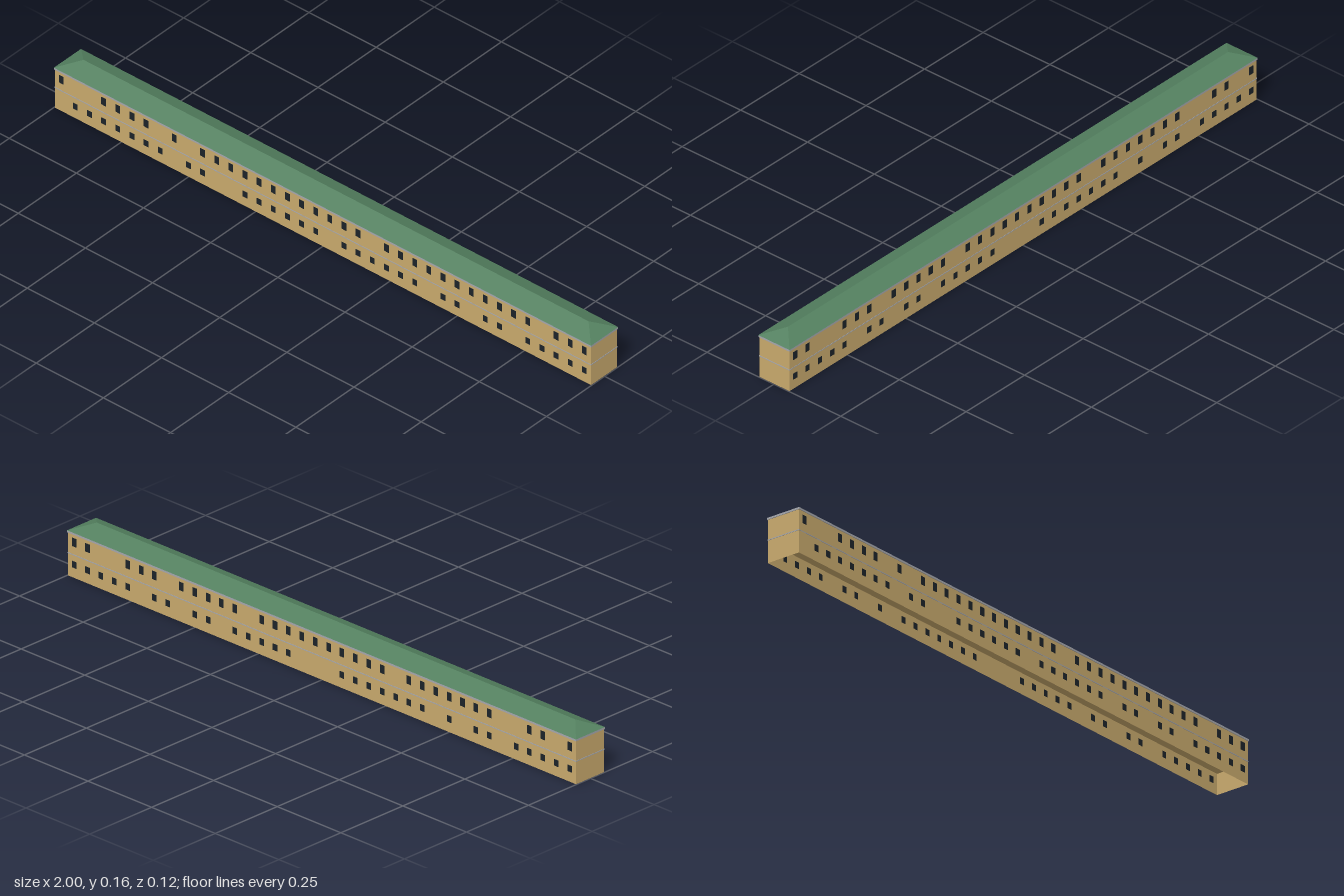
import * as THREE from 'three';

const BAY = 2 / 38; // window spacing
const HX = 0.998, HZ = 0.0565; // wall half sizes

const mat = (name, color, side = THREE.FrontSide) => {
  const m = new THREE.MeshStandardMaterial({ color, side });
  m.name = name;
  return m;
};

// Hipped roof: rectangular eaves rising to a shorter ridge
function hipRoof(hx, hz, y0, y1, ridge) {
  const a = [-hx, y0, hz], b = [hx, y0, hz], c = [hx, y0, -hz], d = [-hx, y0, -hz];
  const l = [-ridge, y1, 0], r = [ridge, y1, 0];
  const tris = [a, b, r, a, r, l, c, d, l, c, l, r, b, c, r, d, a, l];
  const g = new THREE.BufferGeometry();
  g.setAttribute('position', new THREE.Float32BufferAttribute(tris.flat(), 3));
  g.computeVertexNormals();
  return g;
}

export function createModel() {
  const group = new THREE.Group();
  const wall = mat('tan wall', 0xc9aa6d, THREE.DoubleSide);
  const trim = mat('grey trim', 0xa6a8ae);
  const green = mat('green roof', 0x53805f);
  const glass = mat('dark window', 0x1c2329);

  const add = (name, geo, m, x = 0, y = 0, z = 0, parent = group) => {
    const mesh = new THREE.Mesh(geo, m);
    mesh.name = name;
    mesh.position.set(x, y, z);
    parent.add(mesh);
    return mesh;
  };

  // Walls, open underneath
  const top = 0.135;
  for (const s of [1, -1]) {
    add(s > 0 ? 'frontWall' : 'backWall', new THREE.PlaneGeometry(HX * 2, top), wall, 0, top / 2, s * HZ)
      .rotation.y = s > 0 ? 0 : Math.PI;
    add(s > 0 ? 'leftEndWall' : 'rightEndWall', new THREE.PlaneGeometry(HZ * 2, top), wall, s * HX, top / 2, 0)
      .rotation.y = s * Math.PI / 2;
  }
  // Ceiling of the lower storey
  add('storeyCeiling', new THREE.PlaneGeometry(HX * 2, HZ * 2), wall, 0, 0.066, 0).rotation.x = Math.PI / 2;

  // Belt course, eaves and roof
  add('beltCourse', new THREE.BoxGeometry(1.998, 0.003, 0.1145), trim, 0, 0.071, 0);
  add('eaves', new THREE.BoxGeometry(2, 0.006, 0.117), trim, 0, 0.137, 0);
  add('roof', hipRoof(1, 0.0585, 0.14, 0.164, 0.94), green);

  // Window rows, counted from the viewer's left of each facade; listed bays stay blank
  const pane = { upper: new THREE.BoxGeometry(0.017, 0.026, 0.001), lower: new THREE.BoxGeometry(0.017, 0.02, 0.001) };
  const facade = (name, blanks, turn) => {
    const side = new THREE.Group();
    side.name = name;
    side.rotation.y = turn;
    for (const [row, y] of [['upper', 0.11], ['lower', 0.041]]) {
      for (let i = 0; i < 38; i++) {
        if (blanks[row].includes(i)) continue;
        add(row + 'Window', pane[row], glass, -1 + BAY * (i + 0.5), y, HZ + 0.0004, side);
      }
    }
    group.add(side);
  };
  facade('frontWindows', { upper: [1, 2, 7, 9, 22, 34], lower: [0, 8, 11, 12, 19, 26, 29, 32] }, 0);
  facade('backWindows', { upper: [2, 3, 7, 13, 24, 32, 33, 36], lower: [5, 8, 11, 17, 18, 19, 27, 29, 32] }, Math.PI);
  return group;
}
